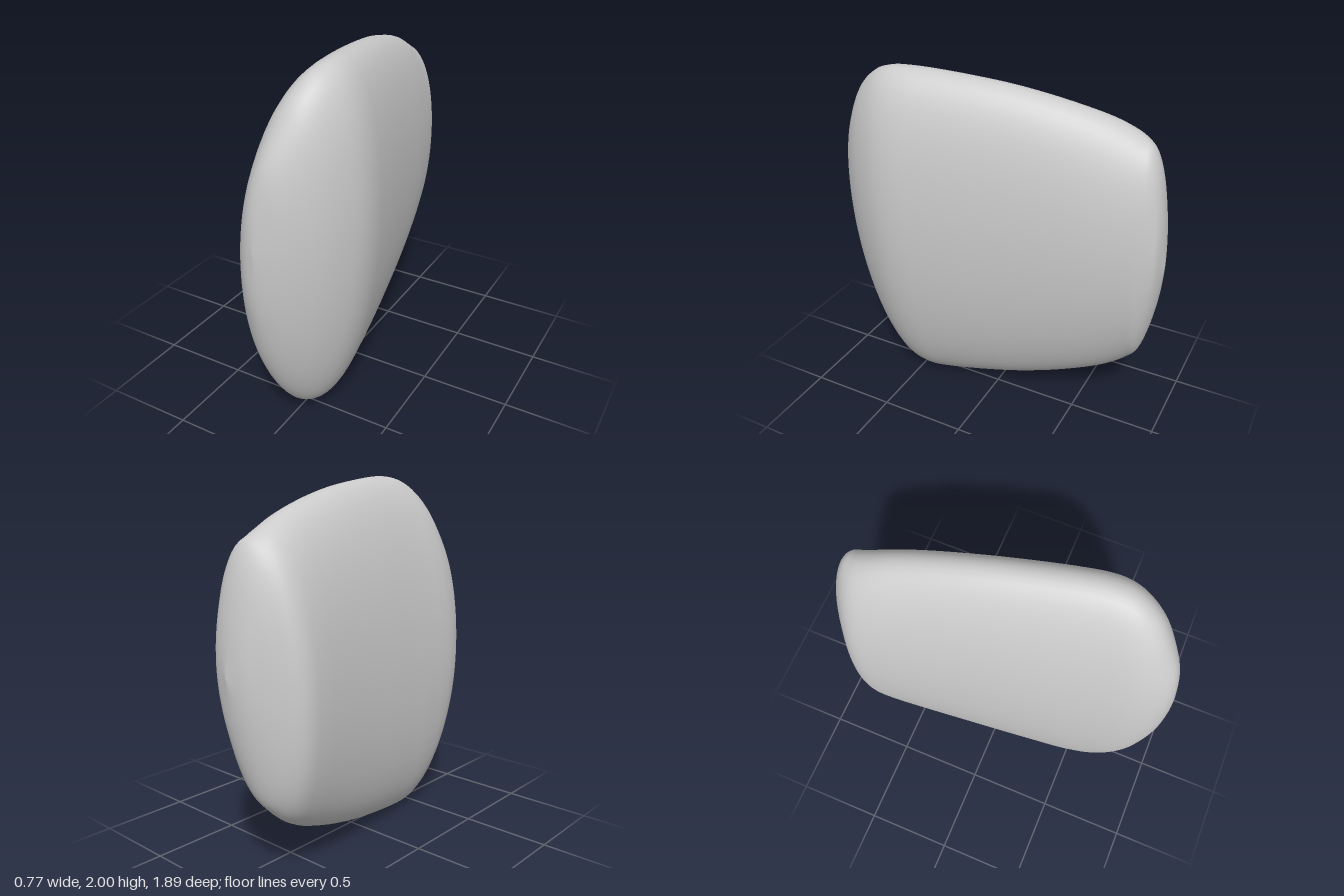
import * as THREE from 'three';

// Cross-sections from front to back: z, bottom, top, min x, max x
const SECTIONS = [
  [0.945, 1.16, 1.16, 0.01, 0.01],
  [0.93, 0.92, 1.37, -0.05, 0.06],
  [0.895, 0.71, 1.56, -0.1, 0.14],
  [0.83, 0.47, 1.71, -0.15, 0.22],
  [0.74, 0.26, 1.86, -0.182, 0.295],
  [0.64, 0.11, 1.95, -0.2, 0.348],
  [0.54, 0.03, 1.99, -0.213, 0.38],
  [0.43, 0.0, 2.0, -0.228, 0.385],
  [0.29, 0.01, 1.995, -0.246, 0.363],
  [0.1, 0.04, 1.978, -0.273, 0.325],
  [-0.1, 0.08, 1.953, -0.301, 0.282],
  [-0.3, 0.135, 1.915, -0.332, 0.24],
  [-0.47, 0.195, 1.873, -0.36, 0.204],
  [-0.6, 0.25, 1.833, -0.38, 0.173],
  [-0.7, 0.31, 1.79, -0.386, 0.148],
  [-0.77, 0.375, 1.753, -0.357, 0.128],
  [-0.83, 0.46, 1.705, -0.287, 0.108],
  [-0.88, 0.62, 1.58, -0.215, 0.08],
  [-0.92, 0.83, 1.36, -0.145, 0.045],
  [-0.945, 1.08, 1.08, -0.05, -0.05],
];

const SIDES = 64;
const RINGS = 114;

function spline(a, b, c) {
  const points = SECTIONS.map((s) => new THREE.Vector3(s[a], s[b], s[c]));
  return new THREE.CatmullRomCurve3(points, false, 'catmullrom', 0.5);
}

// Skin leaning ellipses along z into one closed smooth body
function stoneGeometry() {
  const heights = spline(0, 1, 2);
  const widths = spline(0, 3, 4);
  const positions = [];
  const index = [];

  for (let i = 0; i <= RINGS; i++) {
    const { x: z, y: bottom, z: top } = heights.getPoint(i / RINGS);
    const { y: left, z: right } = widths.getPoint(i / RINGS);
    const rx = (right - left) / 2;
    const ry = (top - bottom) / 2;
    // Each section leans to +x at its top, less so towards the back
    const lean = 0.225 + 0.06 * z;
    const squeeze = Math.sqrt(1 - lean * lean);
    for (let j = 0; j < SIDES; j++) {
      const a = (j / SIDES) * Math.PI * 2;
      positions.push(
        (left + right) / 2 + rx * (squeeze * Math.cos(a) + lean * Math.sin(a)),
        (top + bottom) / 2 + ry * Math.sin(a),
        z
      );
      if (i === RINGS) continue;
      const k = (j + 1) % SIDES;
      const p = i * SIDES + j;
      const q = i * SIDES + k;
      // The end rings are single points, so half of their triangles are left out
      if (i < RINGS - 1) index.push(p, p + SIDES, q + SIDES);
      if (i > 0) index.push(p, q + SIDES, q);
    }
  }

  const geometry = new THREE.BufferGeometry();
  geometry.setAttribute('position', new THREE.Float32BufferAttribute(positions, 3));
  geometry.setIndex(index);
  geometry.computeVertexNormals();
  return geometry;
}

export function createModel() {
  const group = new THREE.Group();
  group.name = 'smoothStone';
  const stone = new THREE.Mesh(
    stoneGeometry(),
    new THREE.MeshStandardMaterial({ color: 0xcccccc })
  );
  stone.name = 'stone';
  group.add(stone);
  return group;
}
